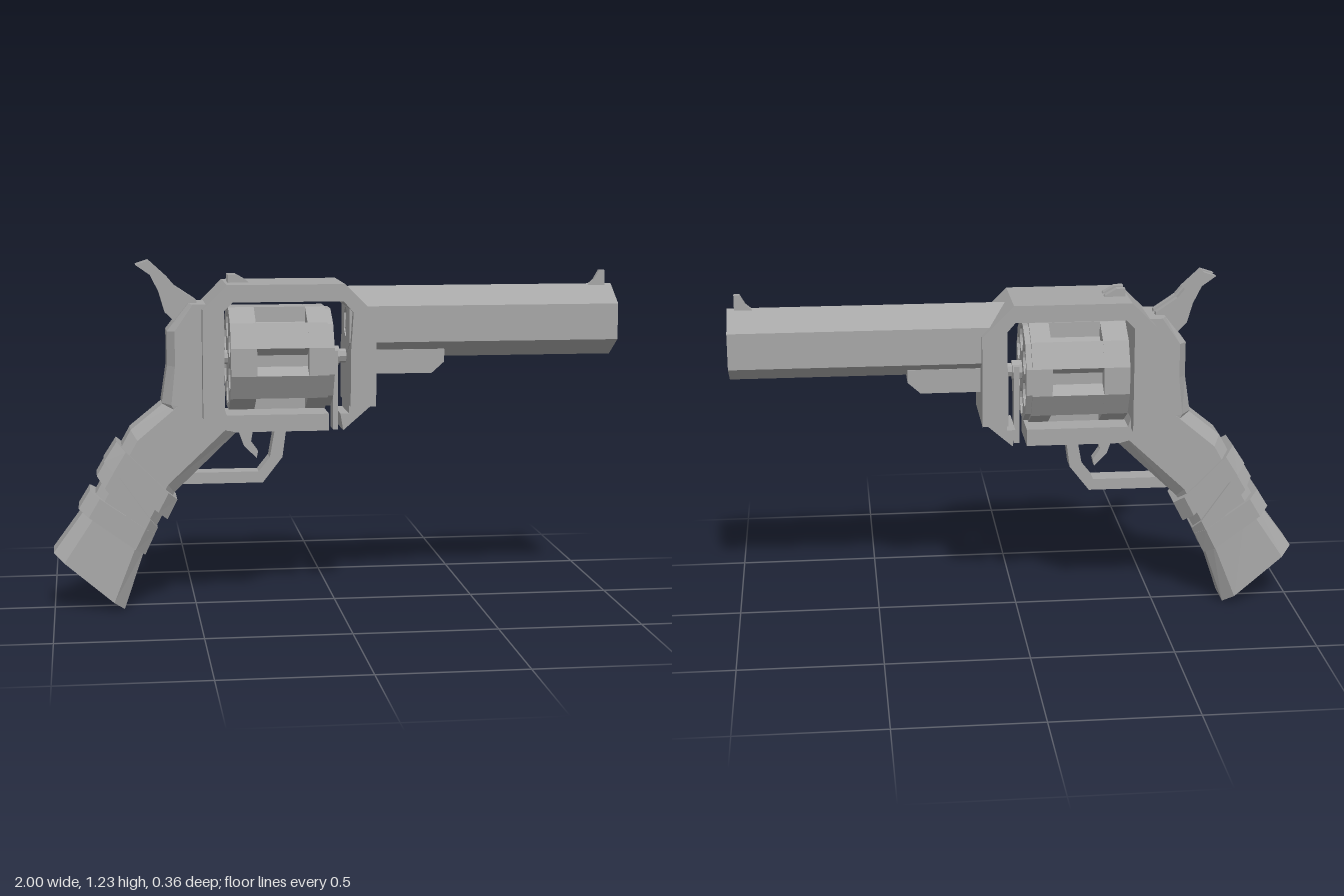
import * as THREE from 'three';

const steel = new THREE.MeshStandardMaterial({ color: 0xa6a6a6 });
steel.name = 'grey steel';

function part(parent, name, geometry) {
  const flat = geometry.index ? geometry.toNonIndexed() : geometry;
  flat.computeVertexNormals();
  const mesh = new THREE.Mesh(flat, steel);
  mesh.name = name;
  parent.add(mesh);
  return mesh;
}

const outline = (points) => new THREE.Shape(points.map(([x, y]) => new THREE.Vector2(x, y)));

// Side outline extruded across z, from z0 to z1
function plate(points, z0, z1) {
  const g = new THREE.ExtrudeGeometry(outline(points), { depth: z1 - z0, bevelEnabled: false });
  return g.translate(0, 0, z0);
}

// Cross-section with holes extruded along x, from x0 to x1, at height y
function prism(points, holes, x0, x1, y) {
  const shape = outline(points);
  shape.holes = holes.map(outline);
  const g = new THREE.ExtrudeGeometry(shape, { depth: x1 - x0, bevelEnabled: false });
  return g.rotateY(Math.PI / 2).translate(x0, y, 0);
}

function ngon(n, r, start = 0, cx = 0, cy = 0) {
  return Array.from({ length: n }, (_, i) => {
    const a = start + (i * 2 * Math.PI) / n;
    return [cx + r * Math.cos(a), cy + r * Math.sin(a)];
  });
}

// Chamfered sections running from top to bottom: [backX, backY, frontX, frontY, halfWidth]
function loft(sections) {
  const pos = [], index = [];
  for (const [bx, by, fx, fy, h] of sections) {
    const a = h * 0.62, c = 0.15;
    const ring = [[0, -a], [c, -h], [1 - c, -h], [1, -a], [1, a], [1 - c, h], [c, h], [0, a]];
    for (const [t, z] of ring) pos.push(bx + (fx - bx) * t, by + (fy - by) * t, z);
  }
  const last = (sections.length - 1) * 8;
  for (let s = 0; s < last; s += 8) {
    for (let i = 0; i < 8; i++) {
      const a = s + i, b = s + ((i + 1) % 8);
      index.push(a, b, b + 8, a, b + 8, a + 8);
    }
  }
  for (let i = 1; i < 7; i++) index.push(0, i + 1, i, last, last + i, last + i + 1);
  const g = new THREE.BufferGeometry();
  g.setAttribute('position', new THREE.Float32BufferAttribute(pos, 3));
  g.setIndex(index);
  return g;
}

function rod(r, x0, x1, y, sides = 8) {
  return new THREE.CylinderGeometry(r, r, x1 - x0, sides).rotateZ(Math.PI / 2).translate((x0 + x1) / 2, y, 0);
}

export function createModel() {
  const model = new THREE.Group();
  model.name = 'revolver';

  // Six-sided barrel with a six-sided bore
  part(model, 'barrel', prism(ngon(6, 0.127, Math.PI / 6), [ngon(6, 0.055, Math.PI / 6)], 0.04, 1, 1.005));
  part(model, 'frontSight', plate([[0.905, 1.12], [0.975, 1.12], [0.975, 1.18], [0.955, 1.18], [0.935, 1.145]], -0.01, 0.01));
  part(model, 'barrelLug', plate([[0.1, 0.825], [0.34, 0.825], [0.385, 0.865], [0.385, 0.91], [0.1, 0.91]], -0.06, 0.06));

  // Frame: wide arch around the cylinder, with a narrower floor
  const frame = new THREE.Group();
  frame.name = 'frame';
  model.add(frame);
  part(frame, 'frameArch', plate([
    [-0.475, 0.685], [-0.40, 0.685], [-0.40, 1.06], [-0.37, 1.09], [0.015, 1.09], [0.05, 1.05],
    [0.04, 0.9], [0.04, 0.72], [0.13, 0.72], [0.13, 1.04], [0.02, 1.15], [-0.39, 1.15], [-0.475, 1.065],
  ], -0.14, 0.14));
  part(frame, 'frameFloor', plate([[-0.475, 0.72], [-0.475, 0.66], [-0.36, 0.63], [-0.03, 0.63], [-0.03, 0.69], [-0.39, 0.69], [-0.40, 0.72]], -0.09, 0.09));
  part(frame, 'frameToe', plate([[0.02, 0.63], [0.13, 0.725], [0.04, 0.725], [0.04, 0.69], [0.01, 0.69]], -0.09, 0.09));
  part(frame, 'recoilBody', loft([
    [-0.52, 1.08, -0.42, 1.08, 0.09], [-0.595, 0.985, -0.42, 1.0, 0.09], [-0.595, 0.865, -0.42, 0.865, 0.09],
    [-0.615, 0.735, -0.40, 0.70, 0.09], [-0.58, 0.66, -0.35, 0.63, 0.085],
  ]));

  // Cylinder: bands at both ends, fluted middle, six chambers
  const drum = new THREE.Group();
  drum.name = 'cylinder';
  model.add(drum);
  const R = 0.1865, Y = 0.885, fluted = [], chambers = [];
  for (let i = 0; i < 6; i++) {
    const a = (i * Math.PI) / 3, c = Math.cos(a), s = Math.sin(a);
    for (const [u, v] of [[0.18, -0.048], [0.135, -0.02], [0.135, 0.02], [0.18, 0.048]]) {
      fluted.push([u * c - v * s, u * s + v * c]);
    }
    const b = a + Math.PI / 6;
    chambers.push(ngon(12, 0.048, 0, 0.115 * Math.cos(b), 0.115 * Math.sin(b)));
  }
  const round = (r) => ngon(12, r, Math.PI / 12);
  part(drum, 'rearBand', prism(round(R), chambers, -0.38, -0.29, Y));
  part(drum, 'flutedMiddle', prism(fluted, chambers, -0.29, -0.11, Y));
  part(drum, 'frontBand', prism(round(R), chambers, -0.11, -0.04, Y));
  part(drum, 'frontRim', prism(round(0.178), chambers, -0.04, -0.02, Y));
  part(drum, 'spindle', rod(0.025, -0.42, 0.06, Y));

  // Crane and ejector in the gap ahead of the cylinder
  part(model, 'crane', new THREE.BoxGeometry(0.018, 0.28, 0.07).translate(0, 0.765, 0));
  part(model, 'craneCollar', rod(0.035, -0.02, 0.015, Y));

  // Hammer: thin core with two side plates that fork at the spur
  const hammer = new THREE.Group();
  hammer.name = 'hammer';
  model.add(hammer);
  const spur = [
    [-0.70, 1.215], [-0.65, 1.18], [-0.62, 1.12], [-0.60, 1.05], [-0.56, 1.01], [-0.48, 1.04],
    [-0.49, 1.09], [-0.565, 1.14], [-0.59, 1.17], [-0.655, 1.23],
  ];
  part(hammer, 'hammerCore', plate([[-0.62, 1.12], [-0.60, 1.05], [-0.56, 1.01], [-0.48, 1.04], [-0.50, 1.08], [-0.58, 1.13]], -0.015, 0.015));
  for (const [side, z] of [['left', 0.012], ['right', -0.038]]) {
    part(hammer, side + 'HammerPlate', plate(spur, z, z + 0.026));
    part(model, side + 'RearSight', plate([[-0.38, 1.14], [-0.30, 1.14], [-0.31, 1.155], [-0.35, 1.178], [-0.38, 1.178]], z, z + 0.026));
  }

  // Trigger and guard
  part(model, 'triggerGuard', plate([
    [-0.175, 0.64], [-0.19, 0.53], [-0.26, 0.44], [-0.56, 0.44], [-0.54, 0.48], [-0.275, 0.48], [-0.235, 0.53], [-0.215, 0.64],
  ], -0.037, 0.037));
  part(model, 'trigger', plate([[-0.35, 0.64], [-0.325, 0.57], [-0.28, 0.525], [-0.275, 0.55], [-0.30, 0.585], [-0.29, 0.64]], -0.02, 0.02));

  // Grip with wrapped bands
  const grip = new THREE.Group();
  grip.name = 'grip';
  model.add(grip);
  part(grip, 'gripBody', loft([
    [-0.54, 0.79, -0.34, 0.64, 0.09], [-0.725, 0.64, -0.575, 0.415, 0.09],
    [-0.85, 0.415, -0.68, 0.22, 0.088], [-1, 0.21, -0.755, 0, 0.098],
  ]));
  const bands = {
    upperBand: [[-0.775, 0.60, -0.565, 0.39, 0.1], [-0.82, 0.53, -0.60, 0.32, 0.1]],
    crossBand: [[-0.81, 0.54, -0.635, 0.29, 0.099], [-0.845, 0.48, -0.665, 0.23, 0.099]],
    lowerBand: [[-0.87, 0.43, -0.645, 0.27, 0.101], [-0.91, 0.365, -0.68, 0.195, 0.101]],
  };
  for (const [name, sections] of Object.entries(bands)) part(grip, name, loft(sections));

  return model;
}
